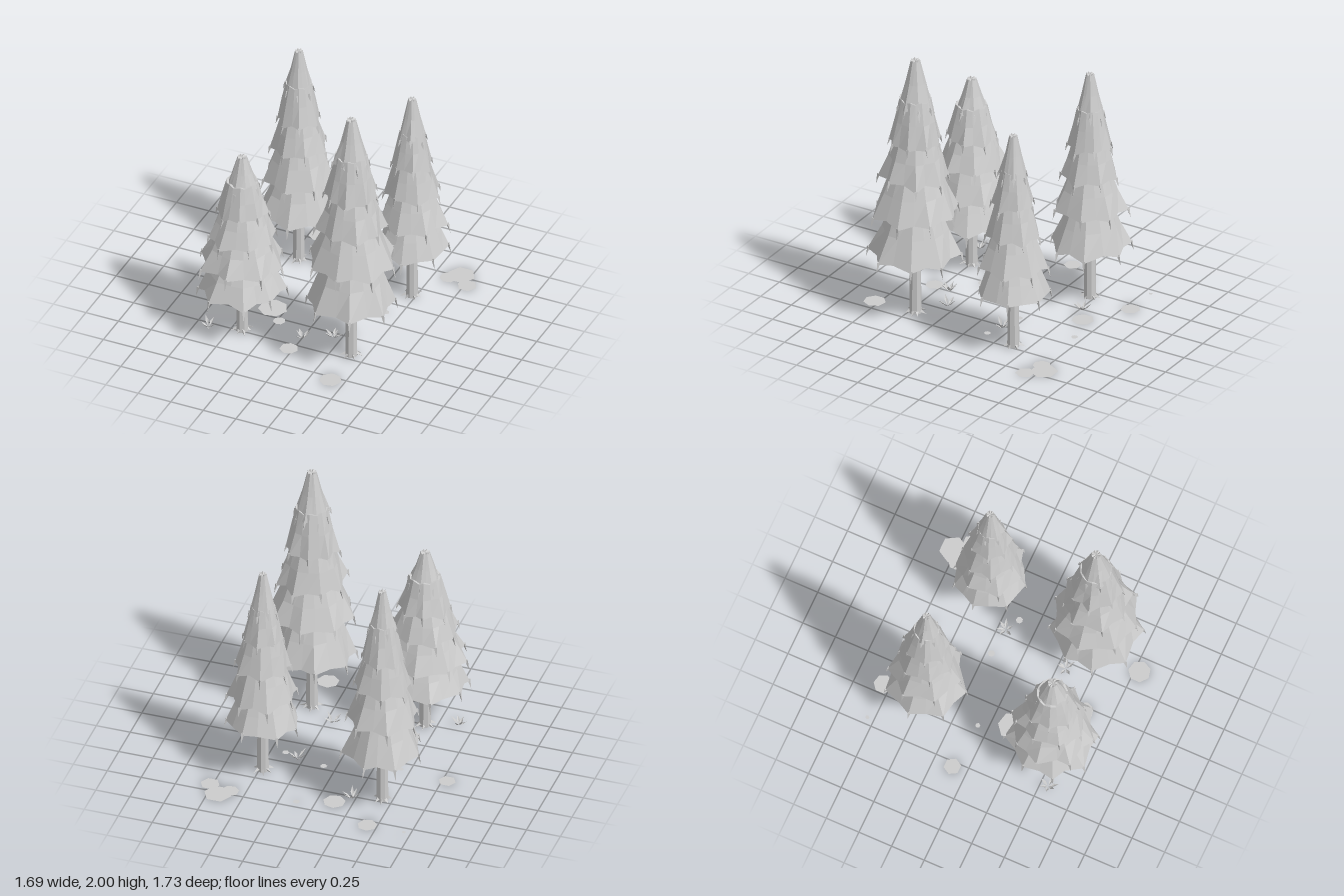
import * as THREE from 'three';
import { mergeGeometries } from 'three/addons/utils/BufferGeometryUtils.js';

let seed = 7;
const rand = () => (seed = (seed * 16807) % 2147483647) / 2147483647;
const vary = (amount) => (rand() * 2 - 1) * amount;

// Flat-shaded skin through closed rings of points, from the bottom up
function skin(rings) {
  const pos = [];
  const tri = (a, b, c) => pos.push(...a, ...b, ...c);
  for (let k = 0; k < rings.length - 1; k++) {
    const lo = rings[k], hi = rings[k + 1], n = lo.length;
    for (let i = 0; i < n; i++) {
      const j = (i + 1) % n;
      tri(lo[i], hi[i], lo[j]);
      tri(lo[j], hi[i], hi[j]);
    }
  }
  const g = new THREE.BufferGeometry();
  g.setAttribute('position', new THREE.Float32BufferAttribute(pos, 3));
  g.computeVertexNormals();
  return g;
}

// A thin three-sided spike from base point to tip point
function spike(base, tip, r) {
  const dir = new THREE.Vector3().subVectors(tip, base);
  const g = new THREE.ConeGeometry(r, dir.length(), 3).toNonIndexed();
  g.deleteAttribute('uv');
  g.computeVertexNormals();
  g.applyQuaternion(new THREE.Quaternion().setFromUnitVectors(
    new THREE.Vector3(0, 1, 0), dir.clone().normalize()));
  const mid = base.clone().lerp(tip, 0.5);
  return g.translate(mid.x, mid.y, mid.z);
}

// One skirt of branches: jagged rim, hollow underside, drooping tips at the corners
function tierGeometry(yb, rb, yt, rt, corners, turn) {
  const inner = [], rim = [], mid = [], top = [], cap = [], tips = [];
  for (let i = 0; i < corners * 2; i++) {
    const isCorner = i % 2 === 0;
    const a = turn + (i / (corners * 2)) * Math.PI * 2 + vary(0.07);
    const c = Math.cos(a), s = Math.sin(a);
    const r = rb * (isCorner ? 1.03 + vary(0.07) : 0.9 + vary(0.02));
    const y = yb + (isCorner ? -0.012 + vary(0.02) : 0.008);
    const rm = (rb * 0.42 + rt * 0.58) * (isCorner ? 1.03 : 0.97);
    const ym = yb * 0.48 + yt * 0.52;
    inner.push([c * 0.03, yb + (yt - yb) * 0.3, s * 0.03]);
    rim.push([c * r, y, s * r]);
    mid.push([c * rm, ym, s * rm]);
    top.push([c * rt, yt + (isCorner ? 0.006 : -0.006), s * rt]);
    cap.push([0, yt - 0.006, 0]);
    if (isCorner) {
      const len = 0.03 + rb * 0.13;
      tips.push(spike(
        new THREE.Vector3(c * (r - 0.008), y + 0.014, s * (r - 0.008)),
        new THREE.Vector3(c * (r + 0.012), y - len, s * (r + 0.012)), 0.013));
    }
  }
  return mergeGeometries([skin([inner, rim, mid, top, cap]), ...tips]);
}

export function createModel() {
  const model = new THREE.Group();
  const grey = new THREE.MeshStandardMaterial({ color: 0xcccccc });
  const greySheet = new THREE.MeshStandardMaterial({ color: 0xcccccc, side: THREE.DoubleSide });
  grey.name = 'pale grey';
  greySheet.name = 'pale grey sheet';
  const add = (parent, name, geometry, material = grey) => {
    const mesh = new THREE.Mesh(geometry, material);
    mesh.name = name;
    parent.add(mesh);
    return mesh;
  };

  // Trees: each tier is [rim height, rim radius, top height, top radius]
  const trees = [
    { name: 'tallTree', x: 0.4, z: 0.45, corners: 8, tiers: [
      [0.49, 0.31, 0.86, 0.17], [0.82, 0.305, 1.14, 0.17], [1.1, 0.24, 1.4, 0.145],
      [1.36, 0.185, 1.7, 0.112], [1.64, 0.127, 1.994, 0.032]] },
    { name: 'shortTree', x: -0.42, z: 0.49, corners: 8, tiers: [
      [0.39, 0.31, 0.64, 0.18], [0.6, 0.29, 0.87, 0.17], [0.82, 0.24, 1.06, 0.14],
      [1.02, 0.18, 1.27, 0.11], [1.22, 0.12, 1.47, 0.032]] },
    { name: 'backLeftTree', x: -0.43, z: -0.47, corners: 7, tiers: [
      [0.44, 0.275, 0.75, 0.15], [0.72, 0.25, 1.02, 0.14], [0.98, 0.2, 1.25, 0.12],
      [1.21, 0.155, 1.5, 0.09], [1.45, 0.1, 1.765, 0.027]] },
    { name: 'backRightTree', x: 0.475, z: -0.395, corners: 7, tiers: [
      [0.44, 0.265, 0.7, 0.15], [0.66, 0.24, 0.95, 0.13], [0.9, 0.195, 1.17, 0.12],
      [1.13, 0.145, 1.4, 0.085], [1.36, 0.098, 1.665, 0.027]] },
  ];
  for (const t of trees) {
    const tree = new THREE.Group();
    tree.name = t.name;
    tree.position.set(t.x, 0, t.z);
    model.add(tree);

    // Trunk with a ring of roots
    const trunk = new THREE.CylinderGeometry(0.037, 0.044, 0.7, 8).toNonIndexed();
    trunk.computeVertexNormals();
    add(tree, 'trunk', trunk.translate(0, 0.36, 0));
    const roots = [];
    for (let i = 0; i < 7; i++) {
      const a = (i / 7) * Math.PI * 2 + vary(0.2);
      const r = 0.08 + vary(0.012);
      roots.push(spike(new THREE.Vector3(Math.cos(a) * 0.03, 0.032, Math.sin(a) * 0.03),
        new THREE.Vector3(Math.cos(a) * r, 0.012, Math.sin(a) * r), 0.016));
    }
    add(tree, 'roots', mergeGeometries(roots));

    t.tiers.forEach((tier, i) =>
      add(tree, 'branchTier' + (i + 1), tierGeometry(...tier, t.corners, i * 1.1 + t.x)));
  }

  // Flat ground patches: x, z, radius, sides
  const patches = [
    [-0.43, -0.8, 0.07, 7], [-0.12, -0.6, 0.08, 7], [-0.7, -0.8, 0.014, 6],
    [0.13, -0.685, 0.025, 7], [0.68, -0.77, 0.1, 6], [0.61, -0.71, 0.065, 7],
    [0.77, -0.67, 0.07, 6], [0.09, -0.21, 0.025, 7], [-0.785, -0.11, 0.062, 6],
    [-0.435, -0.075, 0.018, 6], [0.395, -0.135, 0.025, 7], [-0.34, 0.15, 0.105, 7],
    [-0.235, 0.275, 0.045, 7], [-0.03, 0.555, 0.067, 7], [0.395, 0.785, 0.08, 7],
  ];
  for (const [x, z, r, sides] of patches) {
    const g = new THREE.CircleGeometry(r, sides).rotateX(-Math.PI / 2);
    add(model, 'groundPatch', g, greySheet).position.set(x, 0.003 + r * 0.01, z);
  }

  // Grass tufts of folded leaning blades
  for (const [x, z] of [[-0.645, 0.56], [-0.23, -0.53], [0.01, 0.41], [0.2, 0.31], [0.29, -0.19]]) {
    const pos = [];
    for (let i = 0; i < 6; i++) {
      const a = (i / 6) * Math.PI * 2 + vary(0.4);
      const reach = 0.05 + rand() * 0.025, h = 0.045 + rand() * 0.035;
      const at = (d, y, w) => [
        Math.cos(a) * d - Math.sin(a) * w, y, Math.sin(a) * d + Math.cos(a) * w];
      const root = at(0.004, 0.012, 0), tip = at(reach, h, 0), fold = at(reach * 0.5, h * 0.45, 0);
      for (const w of [-0.012, 0.012]) {
        const side = at(reach * 0.5, h * 0.6, w);
        pos.push(...root, ...fold, ...side, ...fold, ...tip, ...side);
      }
    }
    const g = new THREE.BufferGeometry();
    g.setAttribute('position', new THREE.Float32BufferAttribute(pos, 3));
    g.computeVertexNormals();
    add(model, 'grassTuft', g, greySheet).position.set(x, 0, z);
  }
  return model;
}
